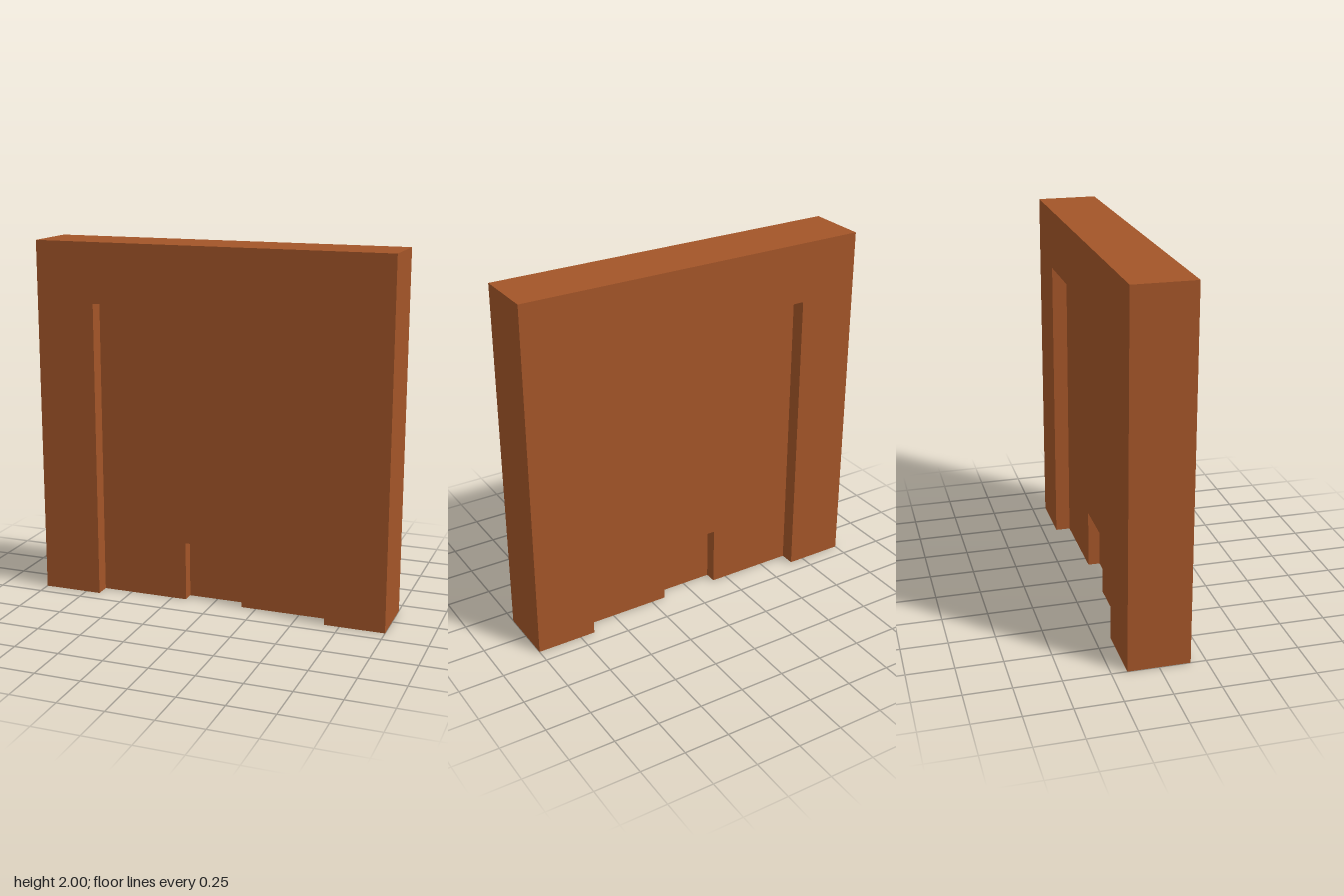
import * as THREE from 'three';

const material = new THREE.MeshStandardMaterial({ color: 0xa35528, flatShading: true });

// Upright arch-shaped slab: outer rectangle with a doorway cut up from the floor
function archSlab(name, halfW, height, openHalfW, openH, depth) {
  const shape = new THREE.Shape([
    [-halfW, 0], [-openHalfW, 0], [-openHalfW, openH], [openHalfW, openH],
    [openHalfW, 0], [halfW, 0], [halfW, height], [-halfW, height],
  ].map(([x, y]) => new THREE.Vector2(x, y)));
  const geometry = new THREE.ExtrudeGeometry(shape, { depth, bevelEnabled: false });
  geometry.translate(0, 0, -depth / 2);
  const mesh = new THREE.Mesh(geometry, material);
  mesh.name = name;
  return mesh;
}

export function createModel() {
  const group = new THREE.Group();
  group.name = 'recessedWall';

  const sixth = 1 / 6;
  const thickness = 2 * sixth;

  // Thick outer frame
  group.add(archSlab('outerFrame', 1, 2, 4 * sixth, 10 * sixth, thickness));

  // Panel set back equally from both faces
  group.add(archSlab('recessedPanel', 4 * sixth, 10 * sixth, sixth, 2 * sixth, thickness / 2));

  // Thin plate closing the small doorway, deeper still
  const plate = new THREE.Mesh(new THREE.BoxGeometry(2 * sixth, 2 * sixth, thickness * 0.1), material);
  plate.name = 'doorwayPlate';
  plate.position.y = sixth;
  group.add(plate);

  return group;
}
